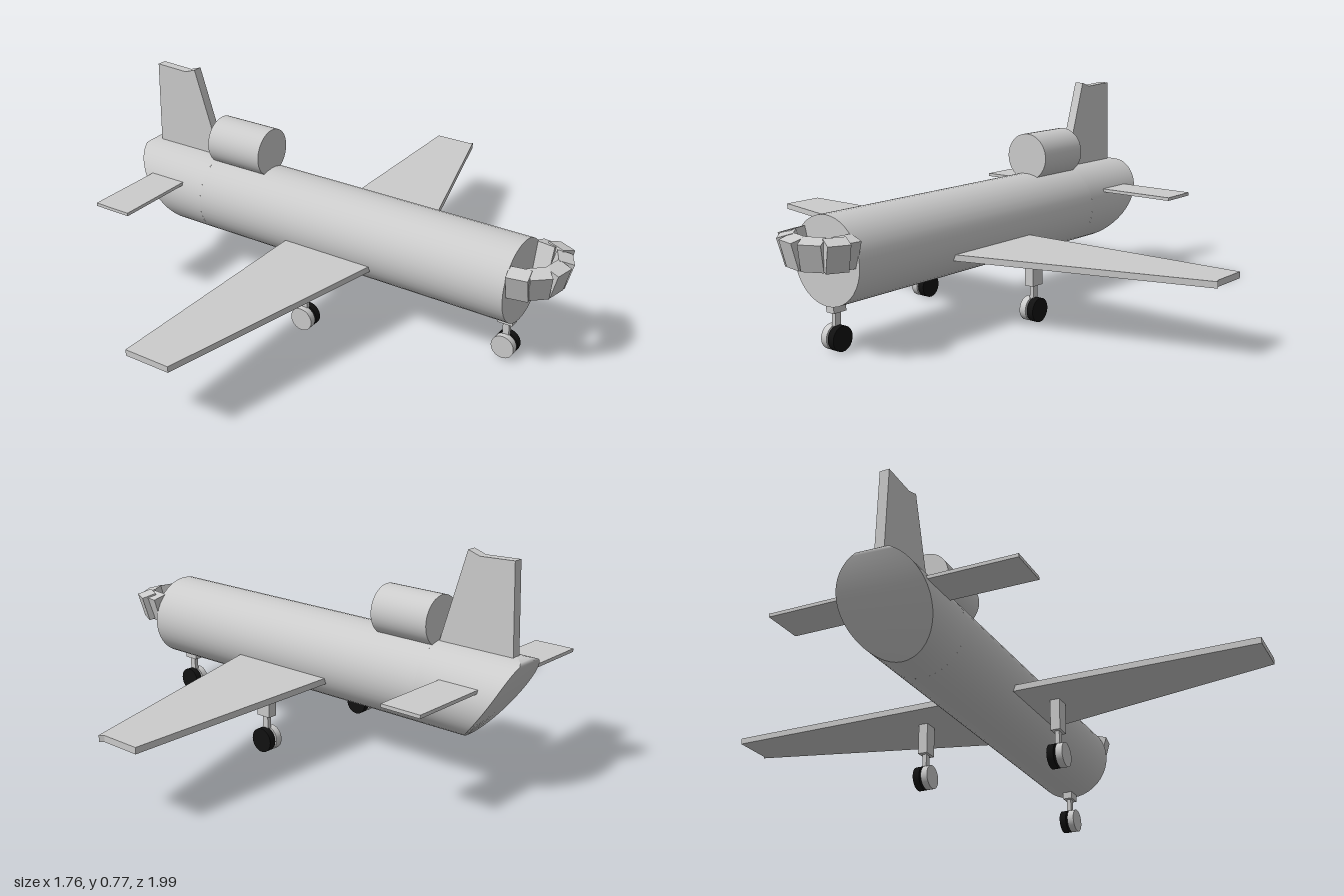
import * as THREE from 'three';

const grey = new THREE.MeshStandardMaterial({ color: 0xcccccc, side: THREE.DoubleSide });
const tyre = new THREE.MeshStandardMaterial({ color: 0x111111 });
const R = 0.15, CY = 0.305;

function add(parent, name, geometry, x = 0, y = 0, z = 0, material = grey) {
  const mesh = new THREE.Mesh(geometry, material);
  mesh.name = name;
  mesh.position.set(x, y, z);
  parent.add(mesh);
  return mesh;
}

// Cylinder lying along x
const tubeX = (r, length) => new THREE.CylinderGeometry(r, r, length, 40).rotateZ(-Math.PI / 2);

// Plate cut from an outline and extruded by the given depth
function plate(points, depth) {
  const shape = new THREE.Shape(points.map(([a, b]) => new THREE.Vector2(a, b)));
  return new THREE.ExtrudeGeometry(shape, { depth, bevelEnabled: false });
}

// Surface through rows of points of equal length
function loft(rows) {
  const n = rows[0].length, index = [];
  for (let i = 0; i < rows.length - 1; i++) {
    for (let j = 0; j < n - 1; j++) {
      const a = i * n + j, b = a + n;
      index.push(a, b, a + 1, b, b + 1, a + 1);
    }
  }
  const geometry = new THREE.BufferGeometry();
  geometry.setAttribute('position', new THREE.Float32BufferAttribute(rows.flat(2), 3));
  geometry.setIndex(index);
  geometry.computeVertexNormals();
  return geometry;
}

// Point on the slanted tail rim: straight on the left, bulging on the right,
// with a small notch at the top behind the fin
function rimPoint(angle) {
  const y = R * Math.cos(angle), z = R * Math.sin(angle);
  const t = (y + R) / (2 * R);
  let x = -0.67 - 0.21 * t;
  if (z < 0) x -= 0.16 * t * (1 - t);
  if (t > 0.9) x += 0.05 * Math.max(0, 1 - Math.abs(z) / 0.05);
  return [x, CY + y, z];
}

// Stepped leg with a pair of wheels
function landingGear(name, x, z, topY) {
  const gear = new THREE.Group();
  gear.name = name;
  gear.position.set(x, 0, z);
  add(gear, 'upperLeg', new THREE.BoxGeometry(0.055, topY - 0.13, 0.035), 0, (topY + 0.13) / 2, 0);
  add(gear, 'lowerLeg', new THREE.BoxGeometry(0.024, 0.09, 0.016), 0, 0.09, 0);
  const wheel = new THREE.CylinderGeometry(0.043, 0.043, 0.025, 28).rotateX(Math.PI / 2);
  add(gear, 'leftWheel', wheel, 0, 0.043, 0.016);
  add(gear, 'rightWheel', wheel, 0, 0.043, -0.016, tyre);
  return gear;
}

export function createModel() {
  const plane = new THREE.Group();
  plane.name = 'airplane';

  // Fuselage
  add(plane, 'fuselage', tubeX(R, 1.26), 0.09, CY, 0);

  // Tail section with its slanted end
  const steps = 48, front = [], rim = [];
  for (let i = 0; i <= steps; i++) {
    const p = rimPoint((i / steps) * Math.PI * 2);
    rim.push(p);
    front.push([-0.54, p[1], p[2]]);
  }
  add(plane, 'tailSection', loft([front, rim]));
  const half = steps / 2;
  add(plane, 'tailEnd', loft([rim.slice(0, half + 1), rim.slice(half).reverse()]));

  // Tail fin and engine
  const fin = [[-0.83, 0.44], [-0.54, 0.44], [-0.645, 0.775], [-0.69, 0.76], [-0.82, 0.765]];
  add(plane, 'tailFin', plate(fin, 0.035), 0, 0, -0.02);
  add(plane, 'engine', tubeX(0.088, 0.23), -0.425, 0.518, -0.004);

  // Tailplanes
  for (const [name, inner, outer] of [['leftTailplane', 0.12, 0.443], ['rightTailplane', -0.12, -0.433]]) {
    add(plane, name, new THREE.BoxGeometry(0.15, 0.012, Math.abs(outer - inner)), -0.705, 0.361, (inner + outer) / 2);
  }

  // Wings, outlined in x and z
  const wings = {
    leftWing: [[-0.15, 0], [0.235, 0], [0.02, 0.99], [-0.15, 0.99]],
    rightWing: [[-0.15, 0], [0.305, 0], [0.01, -1], [-0.005, -0.99], [-0.15, -0.99]],
  };
  for (const [name, outline] of Object.entries(wings)) {
    add(plane, name, plate(outline, 0.022).rotateX(Math.PI / 2), 0, 0.264, 0);
  }

  // Landing gear
  plane.add(
    landingGear('leftMainGear', 0, 0.237, 0.25),
    landingGear('rightMainGear', 0, -0.278, 0.25),
    landingGear('noseGear', 0.678, 0.004, 0.18),
  );

  // Cockpit windows: blocks set in an arc and leaning outward at the top
  const windows = new THREE.Group();
  windows.name = 'cockpitWindows';
  const spots = [[0.755, 0.105], [0.805, 0.07], [0.836, 0.01], [0.828, -0.06], [0.79, -0.12], [0.75, -0.115]];
  for (const [x, z] of spots) {
    const block = add(windows, 'cockpitWindow', new THREE.BoxGeometry(0.055, 0.095, 0.075), x, 0.354, z);
    block.rotation.order = 'YXZ';
    block.rotation.set(0, Math.atan2(-(z + 0.01), x - 0.735), -0.28);
  }
  plane.add(windows);

  return plane;
}
